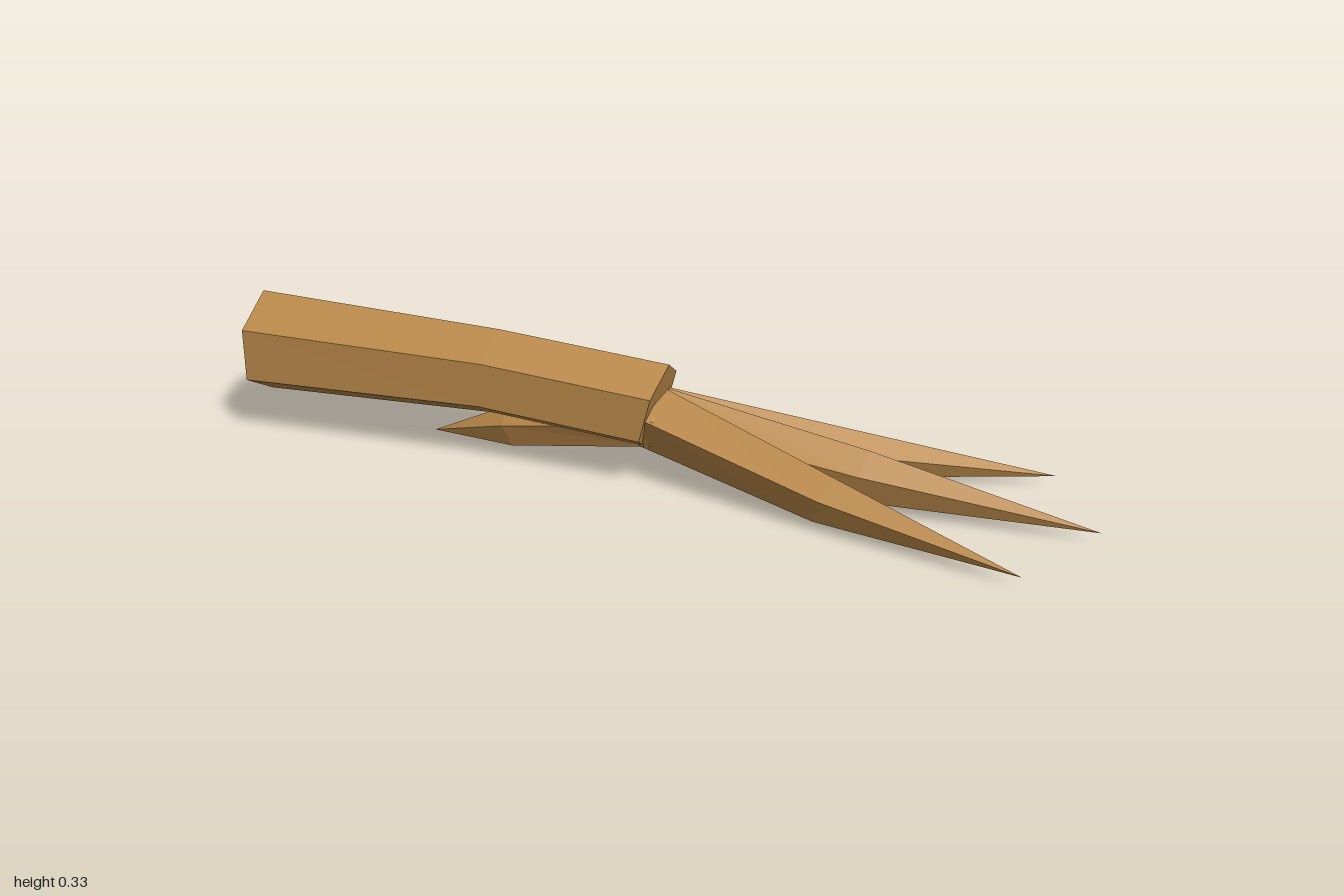
import * as THREE from 'three';

const tan = new THREE.MeshStandardMaterial({ color: 0xb98849 });
tan.name = 'tan';

// Ring of points around the x axis, first point on top; lean pushes the top forward.
function ring(sides, { x, y, ry = 0, rz = 0, lean = 0 }) {
  return Array.from({ length: sides }, (_, i) => {
    const a = (i / sides) * Math.PI * 2;
    const dy = Math.cos(a) * ry;
    return new THREE.Vector3(x + lean * dy, y + dy, Math.sin(a) * rz);
  });
}

// Faceted skin over a row of rings, closed at both ends.
function loft(name, sides, sections) {
  const rings = sections.map((s) => ring(sides, s));
  const points = [];
  const last = rings.length - 1;
  const centre = (s) => new THREE.Vector3(s.x, s.y, 0);
  for (let i = 0; i < sides; i++) {
    const j = (i + 1) % sides;
    for (let k = 0; k < last; k++) {
      const a = rings[k], b = rings[k + 1];
      points.push(a[i], a[j], b[j]);
      if (sections[k + 1].ry) points.push(a[i], b[j], b[i]);
    }
    points.push(centre(sections[0]), rings[0][j], rings[0][i]);
    if (sections[last].ry) points.push(centre(sections[last]), rings[last][i], rings[last][j]);
  }
  const geometry = new THREE.BufferGeometry().setFromPoints(points);
  geometry.computeVertexNormals();
  const mesh = new THREE.Mesh(geometry, tan);
  mesh.name = name;
  return mesh;
}

export function createModel() {
  const model = new THREE.Group();
  model.name = 'clawedFoot';

  // Six-sided leg, bending down towards the toes
  model.add(loft('leg', 6, [
    { x: -1, y: 0.207, ry: 0.126, rz: 0.126 },
    { x: -0.4, y: 0.206, ry: 0.106, rz: 0.106, lean: 0.12 },
    { x: -0.002, y: 0.175, ry: 0.105, rz: 0.105, lean: 0.26 },
  ]));

  // Three front toes fanning out of one shared root
  const root = { x: 0, y: 0.149, ry: 0.073, rz: 0.084, lean: 0.34 };
  model.add(loft('middleToe', 5, [
    root,
    { x: 0.47, y: 0.077, ry: 0.062, rz: 0.055, lean: 0.34 },
    { x: 1, y: 0.024 },
  ]));
  for (const side of [-1, 1]) {
    const toe = loft(side > 0 ? 'backToe' : 'frontToe', 5, [
      root,
      { x: 0.445, y: 0.068, ry: 0.055, rz: 0.055, lean: 0.34 },
      { x: 0.905, y: 0.024 },
    ]);
    toe.rotation.y = side * 0.28;
    model.add(toe);
  }

  // Short rear toe under the leg
  const spur = loft('rearToe', 5, [
    { x: 0, y: 0.13, ry: 0.05, rz: 0.055, lean: 0.3 },
    { x: 0.385, y: 0.052, ry: 0.048, rz: 0.042, lean: 0.3 },
    { x: 0.6, y: 0 },
  ]);
  spur.rotation.y = Math.PI - 0.11;
  model.add(spur);

  return model;
}
